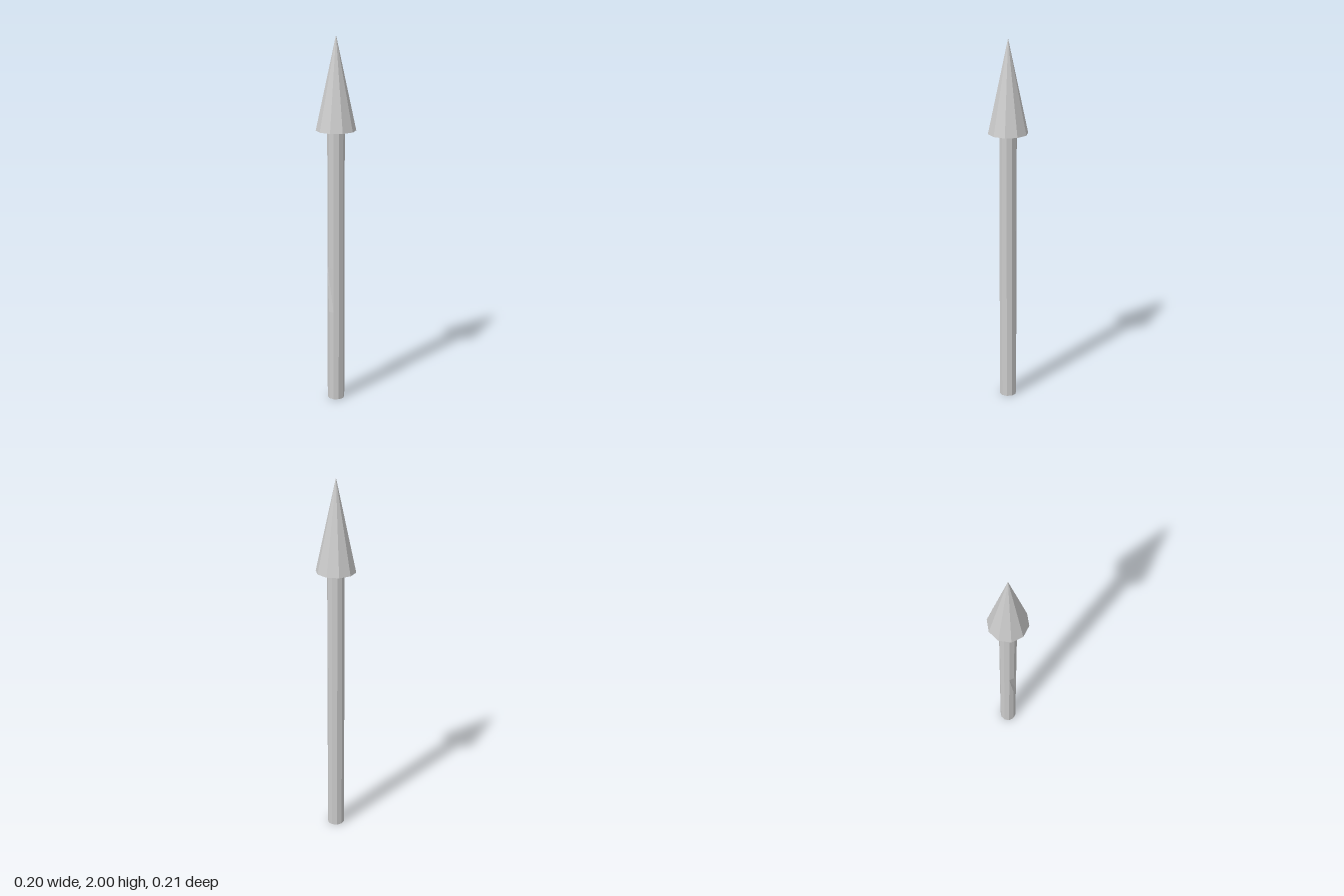
import * as THREE from 'three';

const SIDES = 10;

// One horizontal ring of points, starting at the front (+z) and turning to +x
function ring(radius, y) {
  return Array.from({ length: SIDES }, (_, i) => {
    const a = (i / SIDES) * Math.PI * 2;
    return new THREE.Vector3(Math.sin(a) * radius, y, Math.cos(a) * radius);
  });
}

// Skin a stack of rings from bottom to top, leaving out collapsed triangles
function loft(rings) {
  const points = [];
  const addTriangle = (a, b, c) => {
    if (new THREE.Triangle(a, b, c).getArea() > 1e-8) points.push(a, b, c);
  };
  for (let k = 0; k < rings.length - 1; k++) {
    for (let i = 0; i < SIDES; i++) {
      const n = (i + 1) % SIDES;
      const a = rings[k][i], b = rings[k][n], c = rings[k + 1][n], d = rings[k + 1][i];
      addTriangle(a, b, d);
      addTriangle(b, c, d);
    }
  }
  const geometry = new THREE.BufferGeometry().setFromPoints(points);
  geometry.computeVertexNormals();
  return geometry;
}

export function createModel() {
  const model = new THREE.Group();
  model.name = 'arrow';
  const material = new THREE.MeshStandardMaterial({
    color: 0xcccccc, flatShading: true, side: THREE.DoubleSide,
  });

  // Shaft, with the front corner cut away in a shallow wedge below y = 0.76
  const r = 0.046;
  const notch = ring(r, 0.76);
  notch[0] = notch[SIDES - 1].clone();
  const shaft = new THREE.Mesh(
    loft([ring(0, 0), ring(r, 0), ring(r, 0.51), notch, ring(r, 0.76), ring(r, 1.55), ring(0, 1.55)]),
    material,
  );
  shaft.name = 'shaft';
  model.add(shaft);

  // Hollow pointed head, open underneath
  const head = new THREE.Mesh(new THREE.ConeGeometry(0.106, 0.495, SIDES, 1, true), material);
  head.name = 'head';
  head.position.y = 2 - 0.495 / 2;
  model.add(head);

  return model;
}
